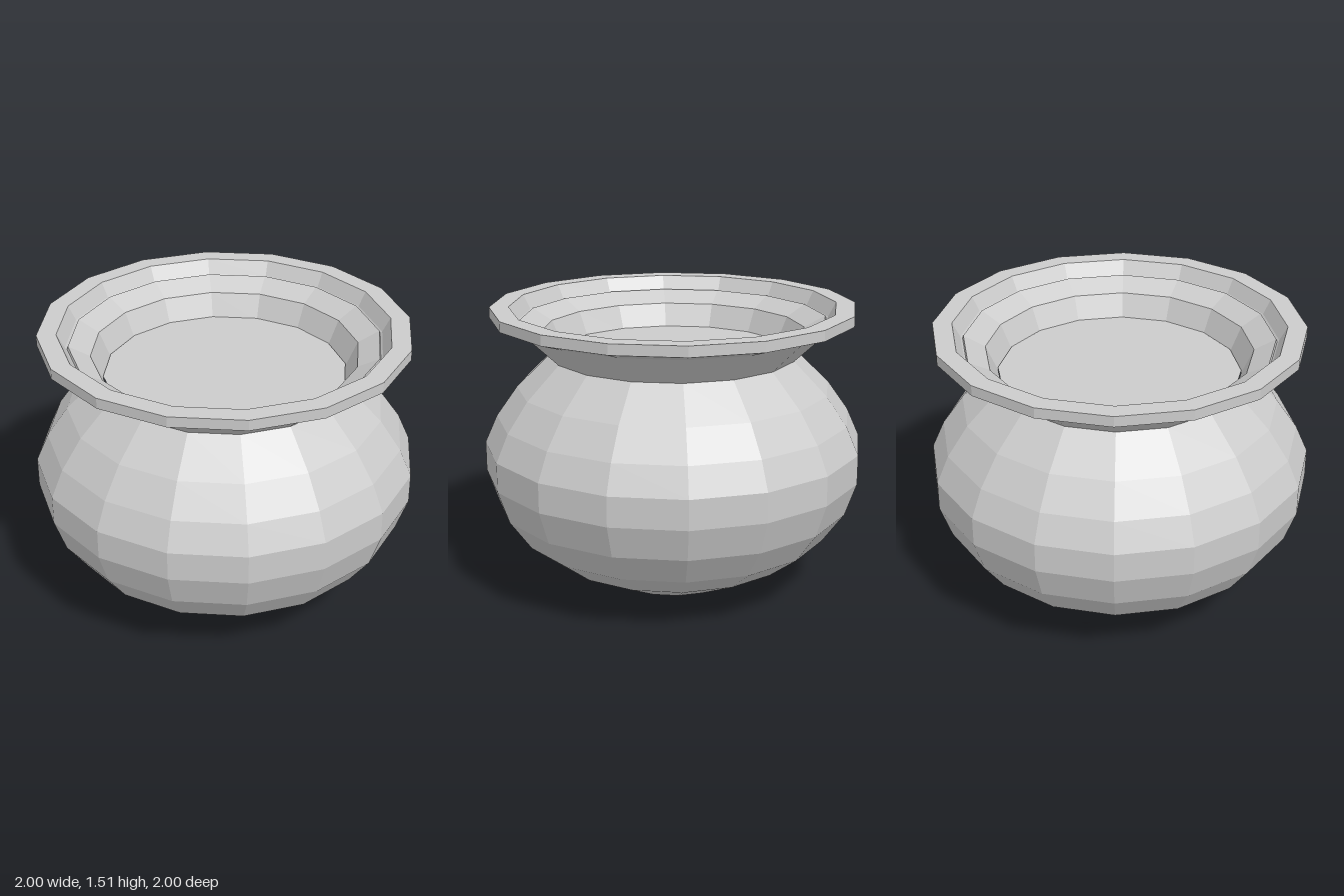
import * as THREE from 'three';

const SIDES = 16;
const material = new THREE.MeshStandardMaterial({ color: 0xcccccc, flatShading: true });

// Faceted ring of revolution; the profile is [radius, height], surface on its right-hand side
function turned(name, profile) {
  const points = profile.map(([r, y]) => new THREE.Vector2(r, y));
  const mesh = new THREE.Mesh(new THREE.LatheGeometry(points, SIDES), material);
  mesh.name = name;
  return mesh;
}

export function createModel() {
  const pot = new THREE.Group();
  pot.name = 'pot';

  // Round belly from the flat foot up to the neck
  pot.add(turned('belly', [
    [0.11, 0.02], [0.34, 0.02], [0.66, 0.175], [0.825, 0.3], [0.94, 0.46], [1, 0.635],
    [1, 0.79], [0.935, 0.935], [0.825, 1.09], [0.65, 1.26],
  ]));

  // Small pointed nub in a shallow recess under the foot
  pot.add(turned('footNub', [[0, 0], [0.1, 0.04], [0.11, 0.02]]));

  // Flared collar with a flat lip and a short inner wall
  pot.add(turned('collar', [
    [0.65, 1.26], [0.815, 1.415], [0.955, 1.46], [0.955, 1.515],
    [0.855, 1.515], [0.815, 1.44], [0.805, 1.43],
  ]));

  // Inner bowl stepping down from the collar
  pot.add(turned('innerBowl', [[0.805, 1.43], [0.8, 1.445], [0.69, 1.385], [0.63, 1.25]]));

  // Flat surface filling the mouth
  pot.add(turned('filling', [[0.63, 1.265], [0, 1.265]]));

  return pot;
}
